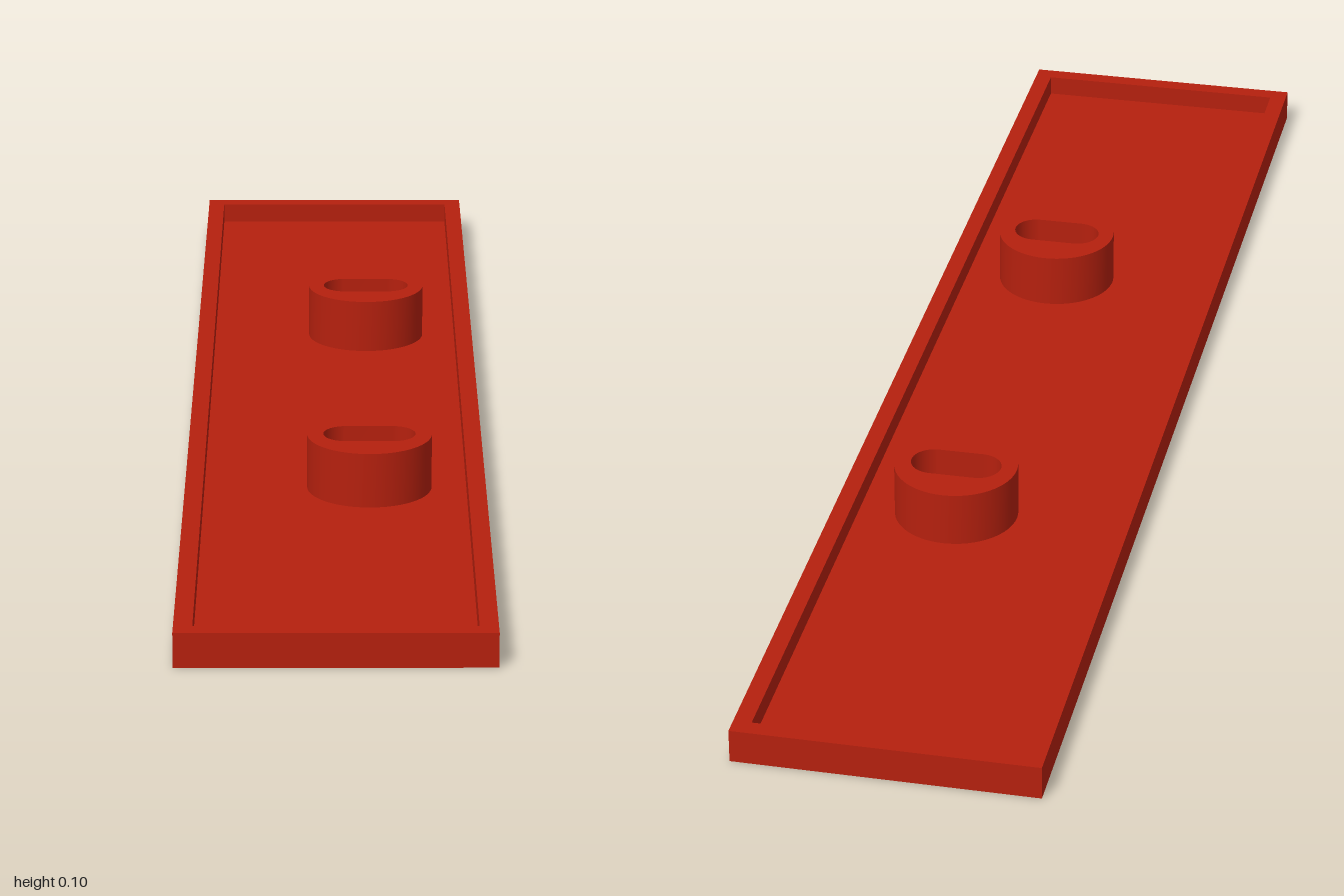
import * as THREE from 'three';
import { mergeGeometries } from 'three/addons/utils/BufferGeometryUtils.js';

const W = 0.21, L = 1, RIM = 0.025;           // half width, half length, rim thickness
const RIM_TOP = 0.048, FLOOR = 0.018, BOSS_TOP = 0.097;
const BOSS_X = 0.048, BOSS_Z = 0.355, BOSS_R = 0.088;
const SLOT_C = 0.032, SLOT_R = 0.033, SINK_R = 0.06, SINK_TOP = 0.03;
const SEG = 64;

// Closed outline: a circle when c is 0, otherwise a slot stretched along x
function outline(c, r) {
  const pts = [];
  for (let i = 0; i <= SEG; i++) {
    const right = i <= SEG / 4 || i > (SEG * 3) / 4;
    const t = (i / SEG) * Math.PI * 2;
    pts.push(new THREE.Vector2(Math.cos(t) * r + (right ? c : -c), Math.sin(t) * r));
  }
  return pts;
}

function rect(w, l) {
  return [[-w, -l], [w, -l], [w, l], [-w, l]].map(([x, y]) => new THREE.Vector2(x, y));
}

// Smooth band joining two outlines at their heights
function band([ptsA, yA], [ptsB, yB]) {
  const pos = [], idx = [];
  for (let i = 0; i <= SEG; i++) {
    pos.push(ptsA[i].x, yA, -ptsA[i].y, ptsB[i].x, yB, -ptsB[i].y);
    if (i < SEG) {
      const a = i * 2;
      idx.push(a, a + 2, a + 3, a, a + 3, a + 1);
    }
  }
  const g = new THREE.BufferGeometry();
  g.setAttribute('position', new THREE.Float32BufferAttribute(pos, 3));
  g.setIndex(idx);
  g.computeVertexNormals();
  return g;
}

// Flat sheet inside the rim with an opening at each boss
function sheet(hole) {
  const shape = new THREE.Shape(rect(W - RIM, L - RIM));
  for (const s of [-1, 1]) {
    const pts = hole.slice(0, SEG).map(p => new THREE.Vector2(p.x + BOSS_X, p.y + s * BOSS_Z));
    shape.holes.push(new THREE.Path(pts));
  }
  return new THREE.ShapeGeometry(shape);
}

export function createModel() {
  const group = new THREE.Group();
  const red = new THREE.MeshStandardMaterial({ color: 0xb5200e });
  red.name = 'red';
  const add = (name, geo) => {
    const mesh = new THREE.Mesh(geo, red);
    mesh.name = name;
    group.add(mesh);
    return mesh;
  };

  // Raised rim around the tray
  const frame = new THREE.Shape(rect(W, L));
  frame.holes.push(new THREE.Path(rect(W - RIM, L - RIM)));
  add('rim', new THREE.ExtrudeGeometry(frame, { depth: RIM_TOP, bevelEnabled: false }).rotateX(-Math.PI / 2));

  // Recessed floor and underside
  const circle = outline(0, BOSS_R), slot = outline(SLOT_C, SLOT_R), sink = outline(SLOT_C, SINK_R);
  add('floor', sheet(circle).rotateX(-Math.PI / 2)).position.y = FLOOR;
  add('underside', sheet(sink).rotateX(Math.PI / 2));

  // Round bosses, each with a slot countersunk from below
  const rings = [[circle, FLOOR], [circle, BOSS_TOP], [slot, BOSS_TOP], [slot, SINK_TOP], [sink, 0]];
  const bossGeo = mergeGeometries(rings.slice(1).map((ring, i) => band(rings[i], ring)));
  for (const s of [-1, 1]) {
    add(s > 0 ? 'frontBoss' : 'backBoss', bossGeo).position.set(BOSS_X, 0, s * BOSS_Z);
  }
  return group;
}
